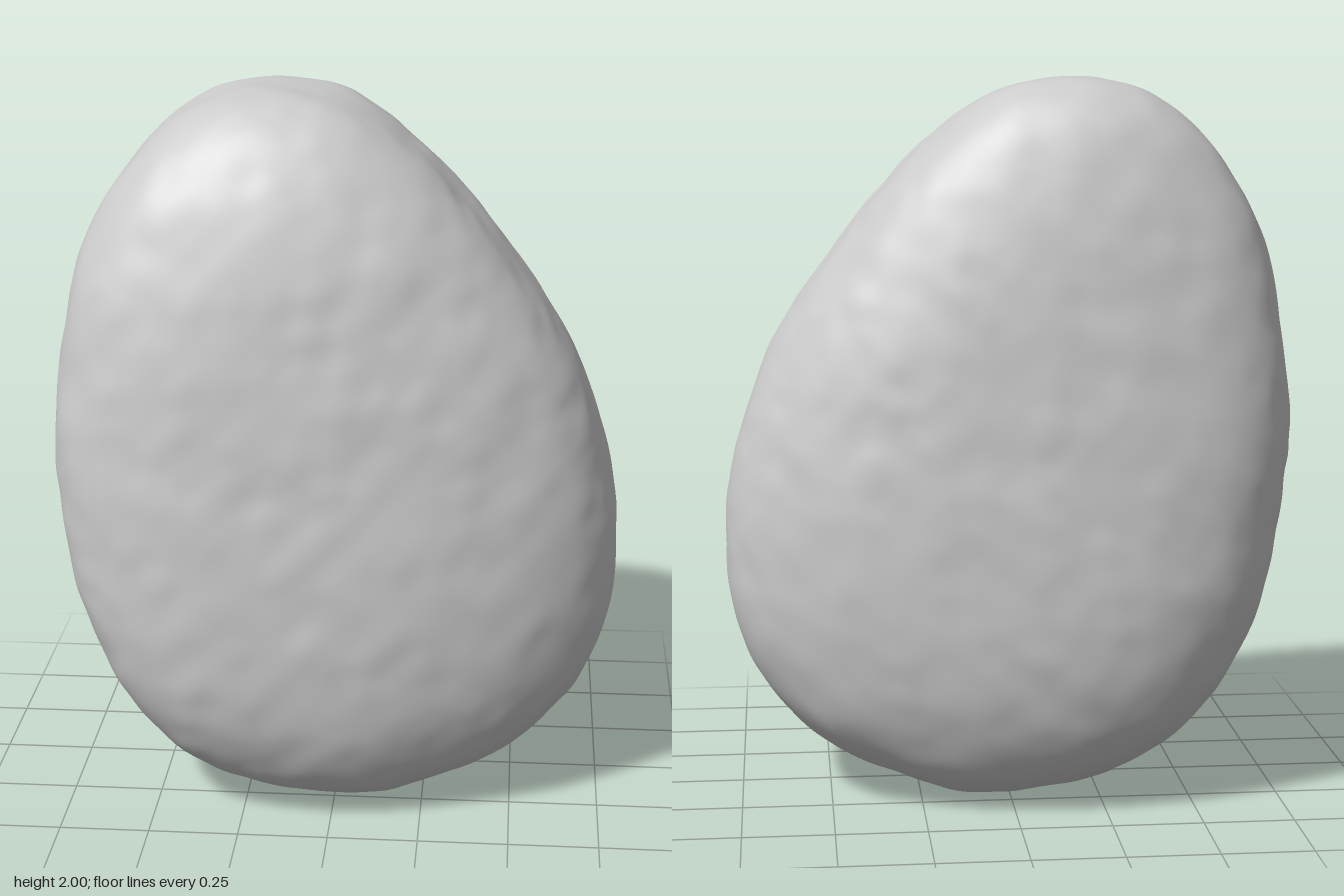
import * as THREE from 'three';
import { mergeVertices } from 'three/addons/utils/BufferGeometryUtils.js';

// Front outline of the pebble, counter-clockwise
const OUTLINE = [
  [0.78, 0.8], [0.738, 1.02], [0.665, 1.22], [0.575, 1.385], [0.465, 1.54], [0.33, 1.705],
  [0.2, 1.838], [0.01, 1.965], [-0.127, 1.995], [-0.285, 1.99], [-0.44, 1.93],
  [-0.585, 1.79], [-0.7, 1.59], [-0.757, 1.34], [-0.785, 1.05], [-0.763, 0.81],
  [-0.71, 0.555], [-0.61, 0.33], [-0.52, 0.215], [-0.42, 0.13], [-0.285, 0.063],
  [-0.1, 0.018], [0.05, 0.003], [0.15, 0.007], [0.25, 0.035], [0.455, 0.115],
  [0.59, 0.215], [0.7, 0.36], [0.768, 0.55],
];

// Returns the outline's distance from (0, 1) as a function of angle
function makeRadius() {
  const curve = new THREE.CatmullRomCurve3(
    OUTLINE.map(([x, y]) => new THREE.Vector3(x, y - 1, 0)), true);
  const table = curve.getPoints(720)
    .map((p) => [Math.atan2(p.y, p.x), Math.hypot(p.x, p.y)])
    .sort((a, b) => a[0] - b[0]);
  const first = table[0], last = table[table.length - 1];
  table.unshift([last[0] - 2 * Math.PI, last[1]]);
  table.push([first[0] + 2 * Math.PI, first[1]]);
  return (angle) => {
    let i = 1;
    while (i < table.length - 1 && table[i][0] < angle) i++;
    const [a0, r0] = table[i - 1], [a1, r1] = table[i];
    return a1 - a0 < 1e-9 ? r1 : THREE.MathUtils.lerp(r0, r1, (angle - a0) / (a1 - a0));
  };
}

// Smooth lattice noise for the worn surface
function hash(x, y, z) {
  const s = Math.sin(x * 127.1 + y * 311.7 + z * 74.7) * 43758.5453;
  return (s - Math.floor(s)) * 2 - 1;
}
function noise(x, y, z) {
  const c = [x, y, z].map(Math.floor);
  const [u, v, w] = [x, y, z].map((k, i) => THREE.MathUtils.smootherstep(k - c[i], 0, 1));
  let sum = 0;
  for (let i = 0; i < 8; i++) {
    const a = i & 1, b = (i >> 1) & 1, d = i >> 2;
    sum += hash(c[0] + a, c[1] + b, c[2] + d)
      * (a ? u : 1 - u) * (b ? v : 1 - v) * (d ? w : 1 - w);
  }
  return sum;
}

function pebbleGeometry() {
  let geometry = new THREE.IcosahedronGeometry(1, 48);
  geometry.deleteAttribute('uv');
  geometry.deleteAttribute('normal');
  geometry = mergeVertices(geometry, 1e-5);
  const radius = makeRadius();
  const pos = geometry.attributes.position;
  const v = new THREE.Vector3();
  for (let i = 0; i < pos.count; i++) {
    v.fromBufferAttribute(pos, i);
    const dir = v.clone();
    const angle = Math.atan2(v.y, v.x);
    const flat = Math.hypot(v.x, v.y);
    // Rim is blunt on the -x side, rounder on the +x side
    const n = 3.75 - 0.55 * Math.cos(angle) + 0.1 * Math.sin(angle);
    const rho = Math.pow(Math.pow(flat, n) + Math.pow(Math.abs(v.z), n), -1 / n);
    const r = radius(angle) * flat * rho;
    const x = r * Math.cos(angle), y = r * Math.sin(angle);
    // Thickness tapers upwards and towards +x, and the top leans back
    const depth = 0.482 - 0.09 * x - 0.12 * x * x - 0.09 * y - 0.035 * y * y;
    const shift = -0.015 * y - 0.03 * Math.max(y, 0) ** 4 - 0.02 * x;
    v.set(x, y, dir.z * rho * depth + shift);
    // Shallow dents
    const p = (v.x + v.y) * 0.7, q = (v.y - v.x) * 0.7;
    const bump = 0.004 * noise(p * 6 + 9, q * 7 + 4, v.z * 6 + 7)
      + 0.003 * noise(p * 12 + 3, q * 15 + 8, v.z * 12 + 5);
    v.addScaledVector(dir, bump);
    pos.setXYZ(i, v.x, v.y, v.z);
  }
  // Centred and resting on the ground
  geometry.center();
  geometry.translate(0, -geometry.boundingBox.min.y, 0);
  geometry.computeVertexNormals();
  return geometry;
}

export function createModel() {
  const group = new THREE.Group();
  group.name = 'pebble';
  const stone = new THREE.Mesh(
    pebbleGeometry(), new THREE.MeshStandardMaterial({ color: 0xcccccc }));
  stone.name = 'stone';
  group.add(stone);
  return group;
}
